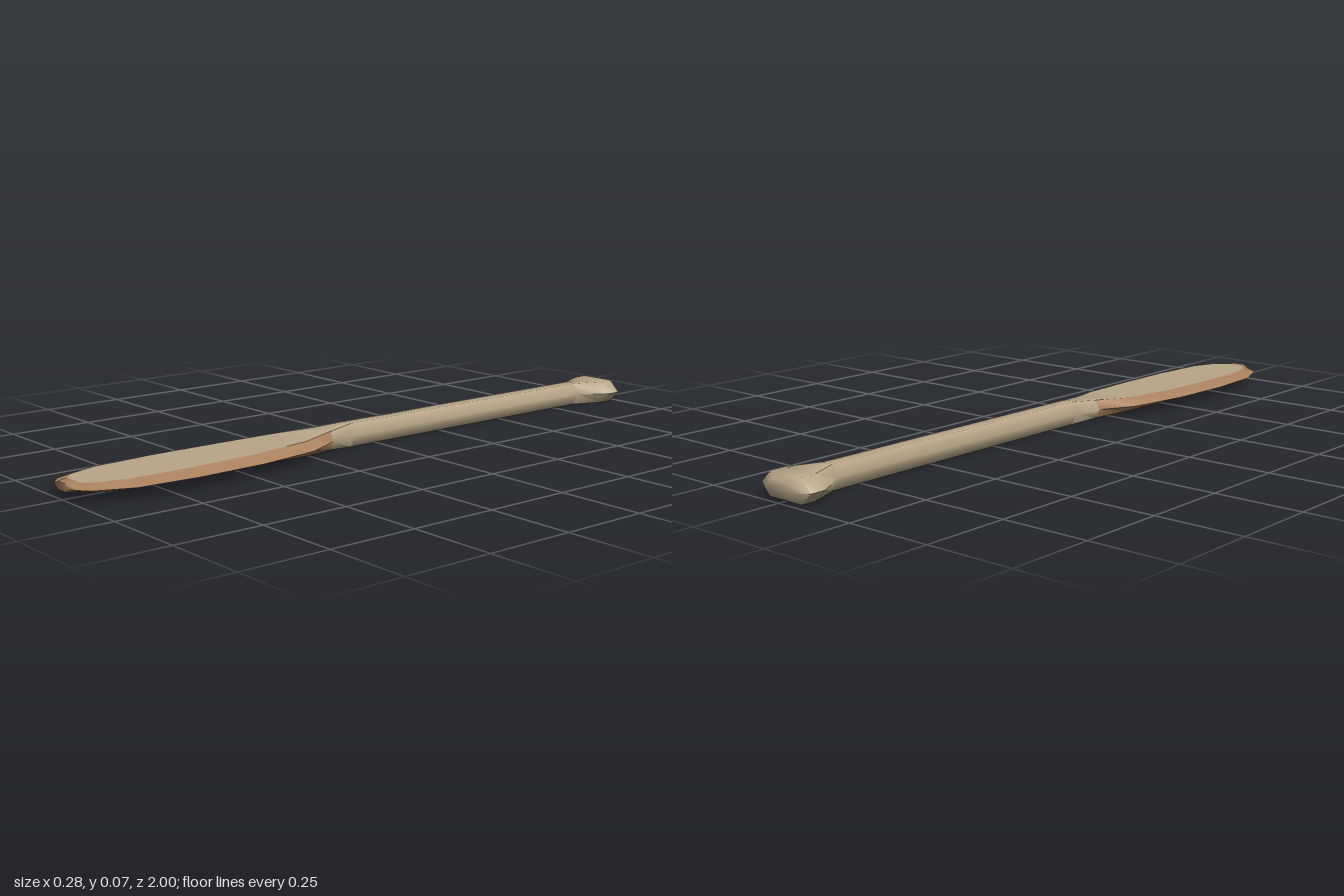
import * as THREE from 'three';
import { toCreasedNormals } from 'three/addons/utils/BufferGeometryUtils.js';

const MID = 0.034; // height of the paddle's centre line

// Cross-sections from grip to tip:
// z of outer edge, half width, z of flat, half width of flat, half thickness
const SECTIONS = [
  [-1.0, 0.052, -1.0, 0.03, 0.022],
  [-0.975, 0.09, -0.975, 0.055, 0.034],
  [-0.93, 0.09, -0.93, 0.055, 0.034],
  [-0.84, 0.035, -0.84, 0.018, 0.034],
  [0.09, 0.034, 0.09, 0.018, 0.034],
  [0.18, 0.05, 0.18, 0.036, 0.027],
  [0.29, 0.105, 0.29, 0.069, 0.0205],
  [0.48, 0.135, 0.48, 0.087, 0.0165],
  [0.68, 0.142, 0.68, 0.092, 0.015],
  [0.86, 0.13, 0.86, 0.084, 0.0135],
  [0.965, 0.086, 0.94, 0.06, 0.0125],
  [0.985, 0.062, 0.968, 0.03, 0.012],
  [1.0, 0.04, 1.0, 0.02, 0.011],
];
const RIM_START = 5;

// Six-sided ring, counter-clockwise seen from the tip
function ring([zo, w, zi, f, h]) {
  return [
    [w, MID, zo], [f, MID + h, zi], [-f, MID + h, zi],
    [-w, MID, zo], [-f, MID - h, zi], [f, MID - h, zi],
  ];
}

function makeMesh(name, triangles, material) {
  const geometry = new THREE.BufferGeometry();
  geometry.setAttribute('position', new THREE.Float32BufferAttribute(triangles.flat(), 3));
  const mesh = new THREE.Mesh(toCreasedNormals(geometry, THREE.MathUtils.degToRad(65)), material);
  mesh.name = name;
  return mesh;
}

export function createModel() {
  const paleWood = new THREE.MeshStandardMaterial({ color: 0xb8a688 });
  paleWood.name = 'pale wood';
  const brownWood = new THREE.MeshStandardMaterial({ color: 0xaa815d });
  brownWood.name = 'brown wood';

  const rings = SECTIONS.map(ring);
  const last = rings.length - 1;
  const body = [];
  const rim = [];

  // Skin between neighbouring rings; the blade's sloping borders go to the rim
  for (let k = 0; k < last; k++) {
    for (let i = 0; i < 6; i++) {
      const j = (i + 1) % 6;
      const flat = i === 1 || i === 4;
      const isRim = k >= RIM_START && (!flat || k === last - 1);
      const a = rings[k][i], b = rings[k][j], c = rings[k + 1][j], d = rings[k + 1][i];
      (isRim ? rim : body).push(a, b, c, a, c, d);
    }
  }

  // End caps of the grip and the blade tip
  for (let i = 1; i < 5; i++) {
    body.push(rings[0][0], rings[0][i + 1], rings[0][i]);
    rim.push(rings[last][0], rings[last][i], rings[last][i + 1]);
  }

  const paddle = new THREE.Group();
  paddle.name = 'paddle';
  paddle.add(
    makeMesh('handleAndBladeFaces', body, paleWood),
    makeMesh('bladeRim', rim, brownWood),
  );
  return paddle;
}
